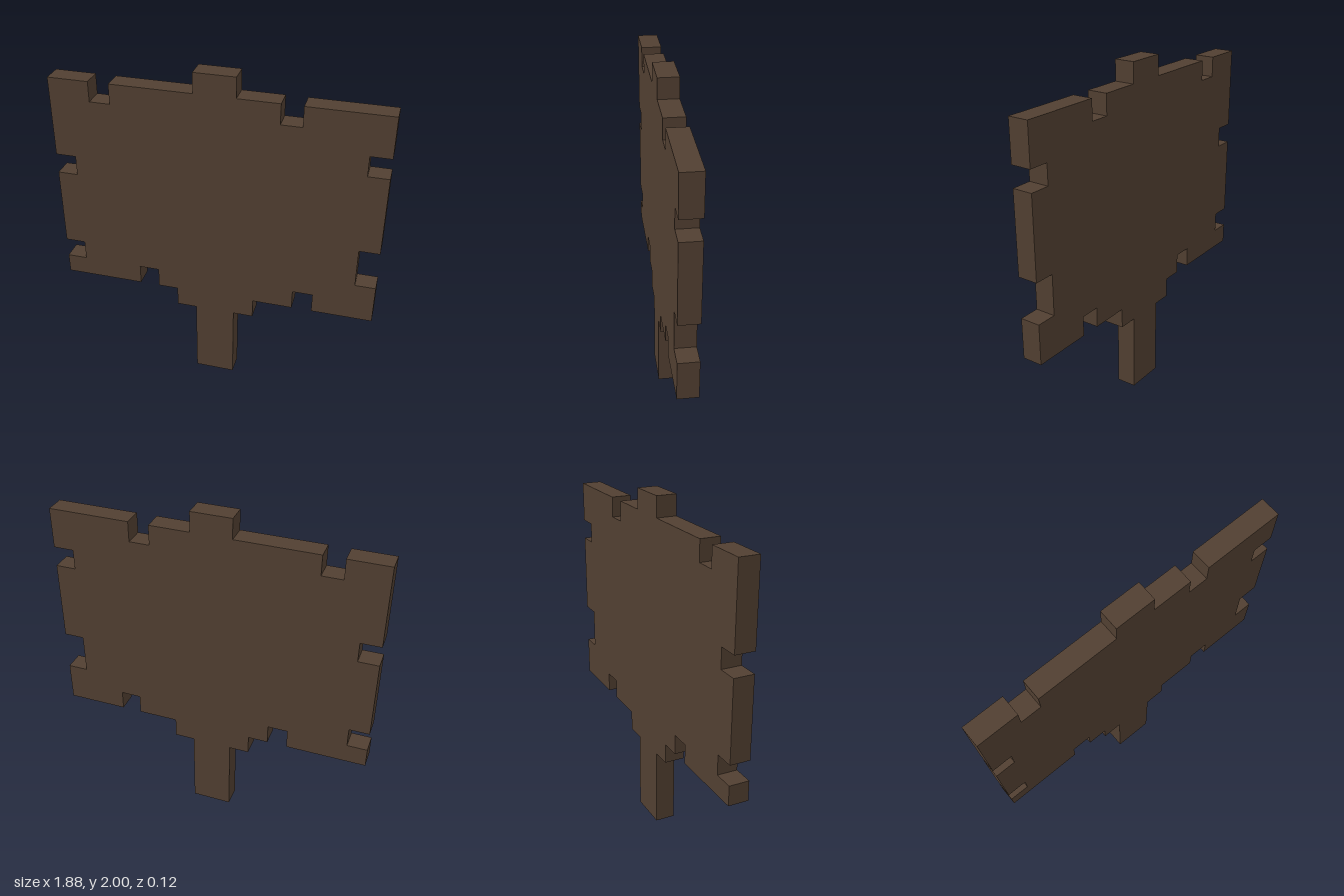
import * as THREE from 'three';

// The sign is laid out on a square grid, 17 cells high and one cell thick
const U = 2 / 17;

export function createModel() {
  const group = new THREE.Group();
  group.name = 'signboard';
  const wood = new THREE.MeshStandardMaterial({ color: 0x513f31 });
  wood.name = 'dark wood';

  const add = (name, geometry) => {
    const mesh = new THREE.Mesh(geometry, wood);
    mesh.name = name;
    group.add(mesh);
  };
  const block = (name, width, y0, y1) => {
    const g = new THREE.BoxGeometry(width * U, (y1 - y0) * U, U);
    add(name, g.translate(0, ((y0 + y1) / 2) * U, 0));
  };

  // Weathered board: rectangle with square notches, outlined counter-clockwise
  const outline = [
    [-8, 5], [-4, 5], [-4, 6], [-3, 6], [-3, 5], [4, 5], [4, 6], [5, 6], [5, 5], [8, 5],
    [8, 7], [7, 7], [7, 9], [8, 9], [8, 13], [7, 13], [7, 14], [8, 14], [8, 16],
    [4, 16], [4, 15], [3, 15], [3, 16], [-5, 16], [-5, 15], [-6, 15], [-6, 16], [-8, 16],
    [-8, 12], [-7, 12], [-7, 11], [-8, 11], [-8, 7], [-7, 7], [-7, 6], [-8, 6],
  ];
  const shape = new THREE.Shape(outline.map(([x, y]) => new THREE.Vector2(x * U, y * U)));
  const board = new THREE.ExtrudeGeometry(shape, { depth: U, bevelEnabled: false });
  add('board', board.translate(0, 0, -U / 2));

  // Post below, stepped brace under the board, post top above it
  block('post', 2, 0, 4);
  block('brace', 4, 4, 5);
  block('postTop', 2, 16, 17);

  return group;
}
